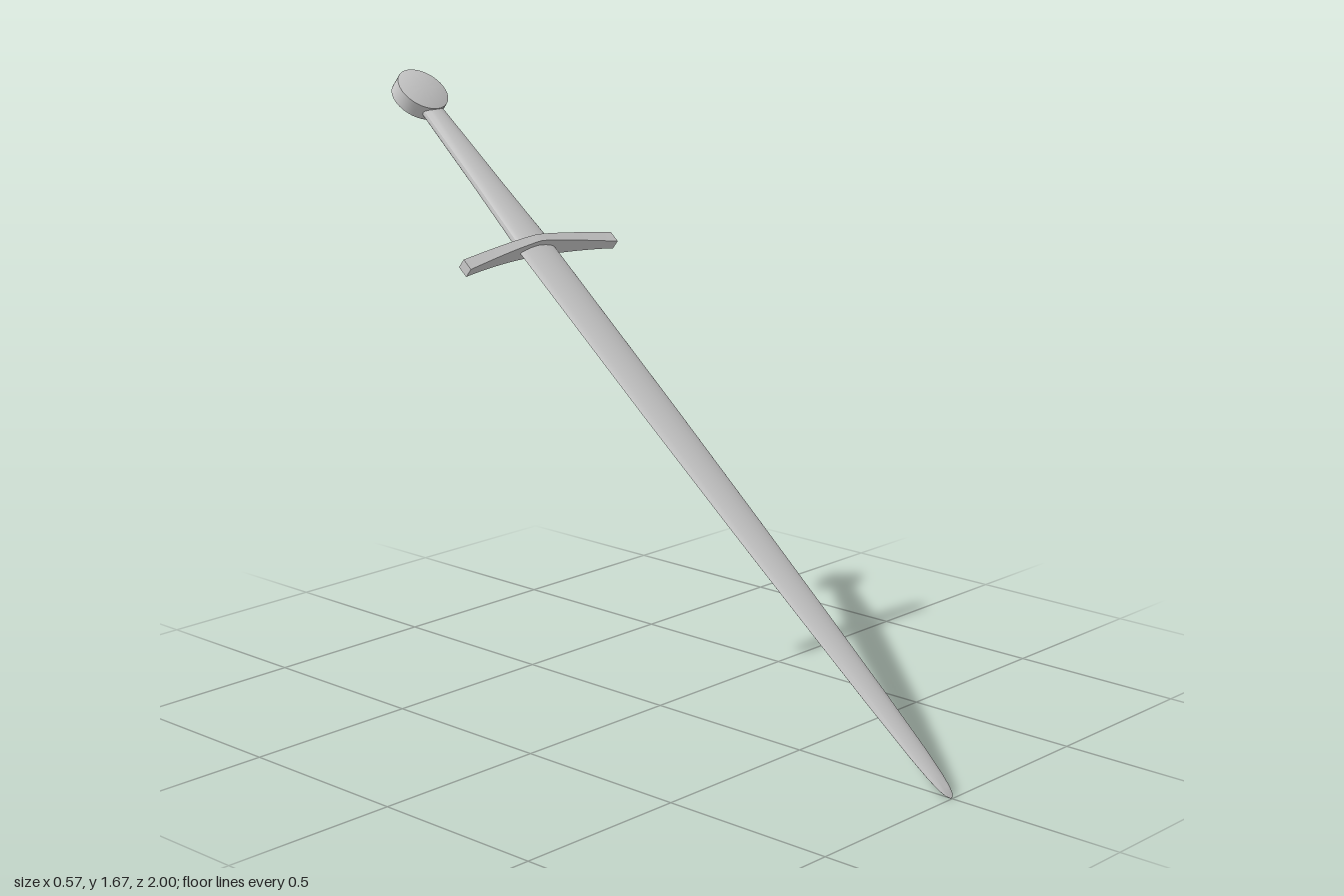
import * as THREE from 'three';
import { toCreasedNormals } from 'three/addons/utils/BufferGeometryUtils.js';

const TILT = THREE.MathUtils.degToRad(50.3);

function makeMesh(name, geometry, crease = 0.6) {
  const material = new THREE.MeshStandardMaterial({ color: 0xcccccc });
  const mesh = new THREE.Mesh(toCreasedNormals(geometry, crease), material);
  mesh.name = name;
  return mesh;
}

// Solid through rings [height, halfWidth, halfThickness]; a higher power sharpens the side edges.
function loft(rings, sides, power) {
  const pos = [], index = [];
  for (const [y, w, h] of rings) {
    for (let i = 0; i < sides; i++) {
      const t = (i / sides) * Math.PI * 2;
      const s = Math.sin(t);
      pos.push(Math.cos(t) * w, y, Math.sign(s) * Math.abs(s) ** power * h);
    }
  }
  const last = (rings.length - 1) * sides;
  const bottom = pos.length / 3, top = bottom + 1;
  pos.push(0, rings[0][0], 0, 0, rings[rings.length - 1][0], 0);
  for (let i = 0; i < sides; i++) {
    const j = (i + 1) % sides;
    for (let r = 0; r < last; r += sides) {
      const a = r + i, b = r + j, c = a + sides, d = b + sides;
      index.push(a, c, b, b, c, d);
    }
    index.push(bottom, i, j, top, last + j, last + i);
  }
  const geometry = new THREE.BufferGeometry();
  geometry.setAttribute('position', new THREE.Float32BufferAttribute(pos, 3));
  geometry.setIndex(index);
  return geometry;
}

export function createModel() {
  const group = new THREE.Group();
  group.name = 'sword';

  // Pieces are built upright from the tip, then tilted together
  const sword = new THREE.Group();
  sword.name = 'tiltedSword';
  sword.rotation.x = -TILT;
  sword.position.set(0, 0.005, 0.998);
  group.add(sword);

  // Lens-section blade with a rounded tip
  sword.add(makeMesh('blade', loft([
    [0, 0.004, 0.002], [0.01, 0.014, 0.004], [0.03, 0.022, 0.006], [0.07, 0.029, 0.008],
    [0.14, 0.035, 0.01], [0.32, 0.043, 0.012], [0.6, 0.051, 0.013], [0.9, 0.058, 0.014],
    [1.3, 0.064, 0.015], [1.91, 0.067, 0.016],
  ], 16, 1.4), 0.5));

  // Crossguard: broad at the middle, arms bending toward the blade
  const guard = new THREE.BoxGeometry(2, 1, 1, 20, 1, 1);
  const p = guard.attributes.position;
  for (let i = 0; i < p.count; i++) {
    const x = p.getX(i), u = Math.abs(x);
    const height = 0.024 + 0.012 * u;
    const depth = 0.03 + 0.04 * (1 - u) ** 1.3;
    p.setXYZ(i, x * 0.284, 1.912 - 0.03 * u ** 1.5 + p.getY(i) * height, p.getZ(i) * depth);
  }
  sword.add(makeMesh('crossguard', guard));

  // Oval grip narrowing toward the pommel
  sword.add(makeMesh('grip', loft([
    [1.91, 0.062, 0.024], [2.0, 0.057, 0.023], [2.15, 0.049, 0.022],
    [2.3, 0.043, 0.021], [2.45, 0.037, 0.019],
  ], 20, 1), 1));

  // Disc pommel with slightly domed faces
  const profile = [
    [0, -0.032], [0.03, -0.031], [0.06, -0.027], [0.078, -0.022],
    [0.078, 0.022], [0.06, 0.027], [0.03, 0.031], [0, 0.032],
  ].map(([r, y]) => new THREE.Vector2(r, y));
  const pommel = makeMesh('pommel', new THREE.LatheGeometry(profile, 32), 0.5);
  pommel.rotation.x = Math.PI / 2;
  pommel.position.y = 2.503;
  sword.add(pommel);

  return group;
}
